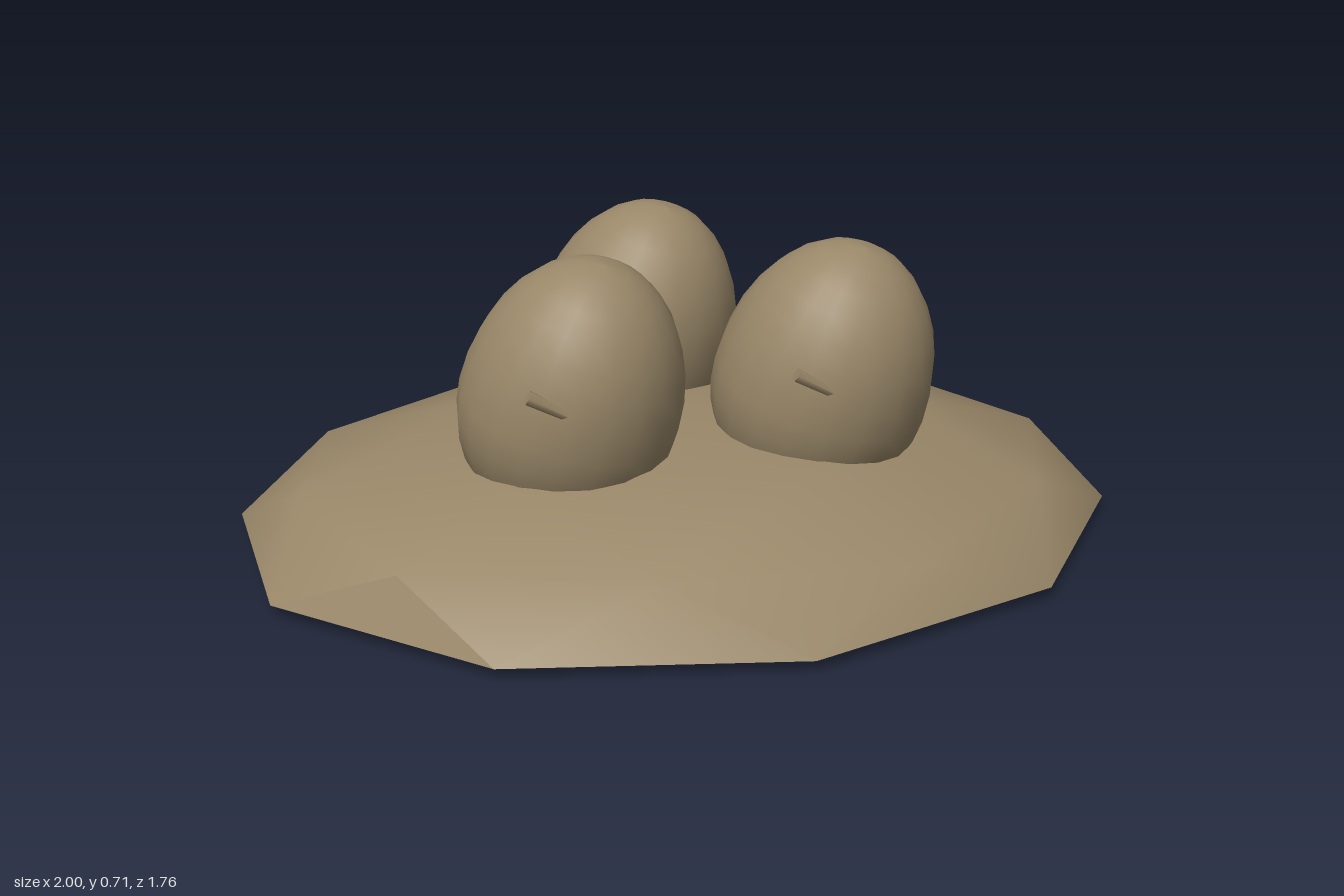
import * as THREE from 'three';
import { toCreasedNormals } from 'three/addons/utils/BufferGeometryUtils.js';

const RIM_Y = 0.027;

// Low-poly sphere flattened to a mound, almost flat underneath
function moundGeometry() {
  const ball = new THREE.IcosahedronGeometry(1, 1);
  ball.rotateZ(Math.atan(2 / (1 + Math.sqrt(5))));
  ball.rotateY(Math.PI);
  const pos = ball.attributes.position;
  for (let i = 0; i < pos.count; i++) {
    const y = pos.getY(i);
    pos.setXYZ(i, pos.getX(i) * 1.051, RIM_Y + y * (y > 0 ? 0.26 : RIM_Y), pos.getZ(i) * 0.88);
  }
  const geo = toCreasedNormals(ball, 1.4);

  // One facet on the front edge stays flat
  const p = geo.attributes.position, n = geo.attributes.normal;
  const tri = new THREE.Triangle(), mid = new THREE.Vector3(), normal = new THREE.Vector3();
  for (let i = 0; i < p.count; i += 3) {
    tri.setFromAttributeAndIndices(p, i, i + 1, i + 2);
    tri.getMidpoint(mid);
    if (mid.y > RIM_Y && mid.distanceTo(new THREE.Vector3(-0.79, 0.07, 0.48)) < 0.07) {
      tri.getNormal(normal);
      for (let k = 0; k < 3; k++) n.setXYZ(i + k, normal.x, normal.y, normal.z);
    }
  }
  return geo;
}

// Egg profile: short rounded base, longer top
function eggGeometry() {
  const points = [];
  const steps = 16;
  for (let i = 0; i <= steps; i++) {
    const a = -Math.PI / 2 + (Math.PI * i) / steps;
    const s = Math.sin(a);
    points.push(new THREE.Vector2(i % steps ? 0.252 * Math.cos(a) : 0, s * (s > 0 ? 0.355 : 0.29)));
  }
  return new THREE.LatheGeometry(points, 20);
}

export function createModel() {
  const model = new THREE.Group();
  model.name = 'eggsOnMound';
  const clay = new THREE.MeshStandardMaterial({ color: 0x998768 });
  clay.name = 'clay brown';

  const mound = new THREE.Mesh(moundGeometry(), clay);
  mound.name = 'mound';
  model.add(mound);

  const eggGeo = eggGeometry();
  const up = new THREE.Vector3(0, 1, 0);
  const lean = new THREE.Vector3(0.19, 1, 0.27).normalize();

  // Thin splinter, wide at the upper end and pointed at the lower end
  const head = new THREE.Vector3(-0.15, 0.1, 0.222);
  const tip = new THREE.Vector3(0.035, -0.005, 0.247);
  const along = head.clone().sub(tip);
  const splinterGeo = new THREE.CylinderGeometry(0.017, 0.004, along.length(), 6);

  for (const [x, z] of [[-0.3, 0.14], [0.292, 0.172], [-0.005, -0.342]]) {
    const group = new THREE.Group();
    group.name = 'eggWithSplinter';
    group.position.set(x, 0.362, z);

    const egg = new THREE.Mesh(eggGeo, clay);
    egg.name = 'egg';
    egg.quaternion.setFromUnitVectors(up, lean);

    const splinter = new THREE.Mesh(splinterGeo, clay);
    splinter.name = 'splinter';
    splinter.position.copy(head).add(tip).multiplyScalar(0.5);
    splinter.quaternion.setFromUnitVectors(up, along.clone().normalize());

    group.add(egg, splinter);
    model.add(group);
  }
  return model;
}
